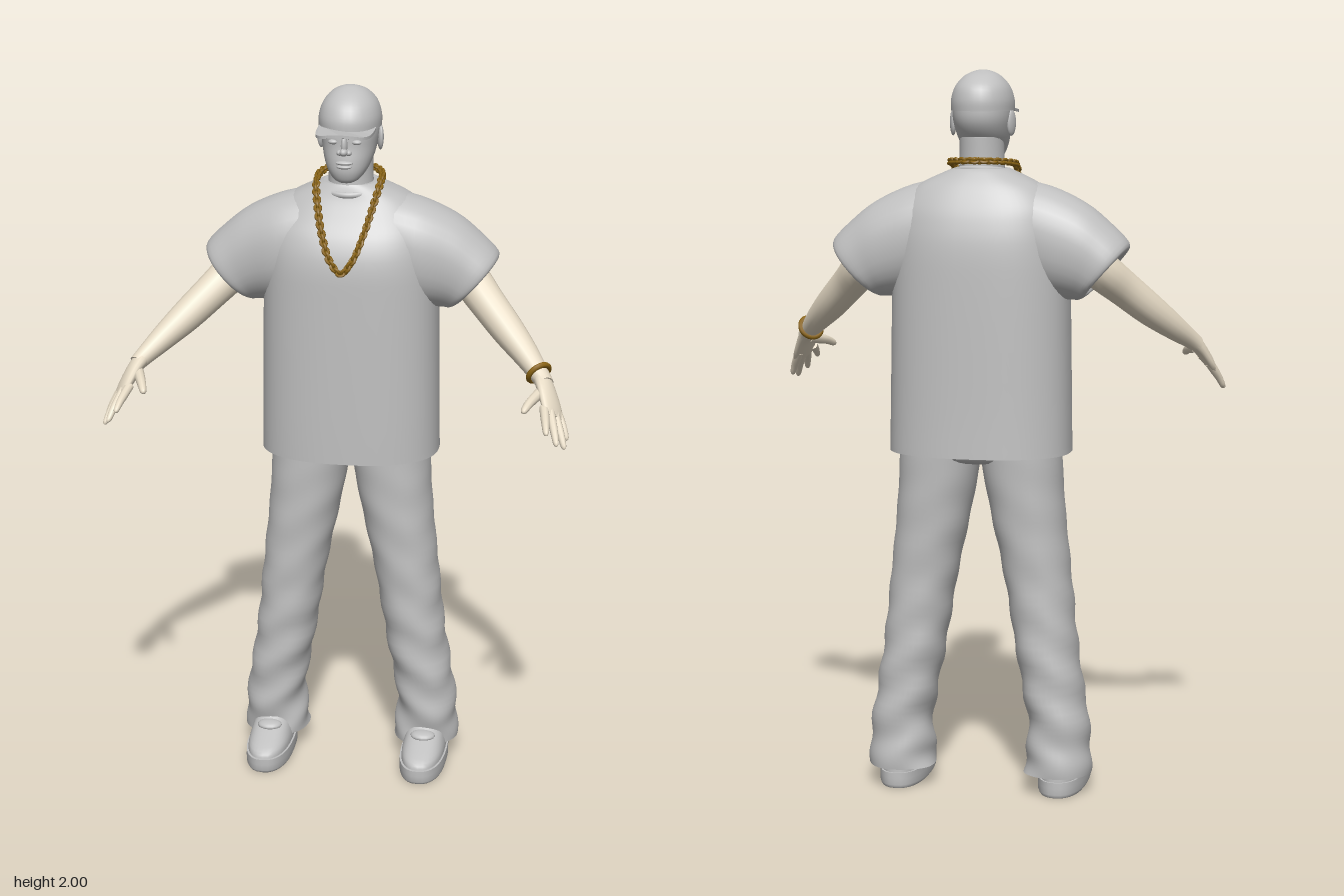
import * as THREE from 'three';
import { mergeGeometries } from 'three/addons/utils/BufferGeometryUtils.js';

const V = (x, y, z) => new THREE.Vector3(x, y, z);

// Resample rows of numbers along a Catmull-Rom spline, n steps per span
function smooth(rows, n) {
  const out = [], last = rows.length - 1;
  for (let i = 0; i < last; i++) {
    for (let s = 0; s < n; s++) {
      const t = s / n;
      out.push(rows[i].map((b, k) => {
        const a = rows[Math.max(i - 1, 0)][k], c = rows[i + 1][k], d = rows[Math.min(i + 2, last)][k];
        return b + 0.5 * t * (c - a + t * (2 * a - 5 * b + 4 * c - d + t * (3 * (b - c) + d - a)));
      }));
    }
  }
  out.push(rows[last]);
  return out;
}

// Skin rings {c, u, v, n}: centre, two half axes (u x v along the path), superellipse power
function loft(rings, { seg = 32, start = true, end = true } = {}) {
  const pos = [], idx = [];
  const ringPoints = r => Array.from({ length: seg }, (_, k) => {
    const a = k / seg * Math.PI * 2, e = 2 / (r.n || 2);
    const f = w => Math.sign(w) * Math.abs(w) ** e;
    return r.c.clone().addScaledVector(r.u, f(Math.cos(a))).addScaledVector(r.v, f(Math.sin(a)));
  });
  rings.forEach((r, i) => {
    ringPoints(r).forEach(p => pos.push(p.x, p.y, p.z));
    if (!i) return;
    for (let k = 0; k < seg; k++) {
      const a = (i - 1) * seg + k, b = (i - 1) * seg + (k + 1) % seg;
      idx.push(a, b, a + seg, b, b + seg, a + seg);
    }
  });
  const cap = (r, flip) => {
    const base = pos.length / 3;
    [r.c, ...ringPoints(r)].forEach(p => pos.push(p.x, p.y, p.z));
    for (let k = 0; k < seg; k++) {
      const a = base + 1 + k, b = base + 1 + (k + 1) % seg;
      idx.push(base, ...(flip ? [b, a] : [a, b]));
    }
  };
  if (start) cap(rings[0], true);
  if (end) cap(rings[rings.length - 1], false);
  const g = new THREE.BufferGeometry();
  g.setAttribute('position', new THREE.Float32BufferAttribute(pos, 3));
  g.setIndex(idx);
  g.computeVertexNormals();
  return g;
}

// Level slices going up: [y, centre x, half width, front z, back z]
const stack = (rows, n = 2, steps = 4, opts) => loft(smooth(rows, steps).map(([y, cx, rx, zf, zb]) => ({
  c: V(cx, y, (zf + zb) / 2), u: V(0, 0, (zf - zb) / 2), v: V(rx, 0, 0), n })), opts);

// Limb along a path: [x, y, z, half thickness, half width along ref]
function limb(rows, ref = V(0, 0, 1), steps = 4, seg = 16) {
  const r = smooth(rows, steps), p = r.map(q => V(q[0], q[1], q[2]));
  return loft(r.map((q, i) => {
    const t = p[Math.min(i + 1, p.length - 1)].clone().sub(p[Math.max(i - 1, 0)]).normalize();
    const u = ref.clone().cross(t).normalize();
    return { c: p[i], u: u.clone().multiplyScalar(q[3]), v: t.cross(u).multiplyScalar(q[4]) };
  }), { seg });
}

function mirrored(geo) {
  const g = geo.clone().scale(-1, 1, 1), a = g.index.array;
  for (let i = 0; i < a.length; i += 3) [a[i], a[i + 1]] = [a[i + 1], a[i]];
  g.computeVertexNormals();
  return g;
}

const blob = (x, y, z, rx, ry, rz) => new THREE.SphereGeometry(1, 16, 12).scale(rx, ry, rz).translate(x, y, z);

export function createModel() {
  const model = new THREE.Group();
  const mat = (name, color, side = THREE.FrontSide) => {
    const m = new THREE.MeshStandardMaterial({ color, side });
    m.name = name;
    return m;
  };
  const grey = mat('grey', 0xc0c0c0, THREE.DoubleSide);
  const skin = mat('skin', 0xeee2cc);
  const gold = mat('gold', 0x8a6414);
  const add = (name, geo, material) => {
    const m = new THREE.Mesh(geo, material);
    m.name = name;
    model.add(m);
  };
  const pair = (name, geo, material) => {
    add(name + 'Left', geo, material);
    add(name + 'Right', mirrored(geo), material);
  };

  // Loose shirt, open at the hem
  add('shirt', stack([
    [0.96, 0, 0.252, 0.072, -0.292], [1.1, 0, 0.25, 0.072, -0.288], [1.4, 0, 0.245, 0.07, -0.283],
    [1.52, 0, 0.24, 0.066, -0.278], [1.59, 0, 0.232, 0.046, -0.265], [1.64, 0, 0.215, 0.015, -0.247],
    [1.69, 0, 0.17, -0.012, -0.22], [1.725, 0, 0.1, -0.025, -0.192], [1.735, 0, 0.075, -0.03, -0.18]],
  2.4, 4, { seg: 56, start: false }), grey);

  // Wide sleeves: top x, top y, bottom x, bottom y, half depth, centre z
  const sleeveRows = [
    [0.08, 1.712, 0.14, 1.42, 0.12, -0.11], [0.19, 1.69, 0.19, 1.39, 0.125, -0.11],
    [0.29, 1.645, 0.242, 1.383, 0.115, -0.118], [0.36, 1.59, 0.26, 1.383, 0.108, -0.12],
    [0.408, 1.54, 0.276, 1.383, 0.104, -0.12], [0.402, 1.515, 0.295, 1.395, 0.092, -0.12],
    [0.38, 1.51, 0.29, 1.41, 0.075, -0.12]];
  pair('sleeve', loft(smooth(sleeveRows, 4).map(([tx, ty, bx, by, d, z]) => ({
    c: V((tx + bx) / 2, (ty + by) / 2, z), u: V((tx - bx) / 2, (ty - by) / 2, 0), v: V(0, 0, d), n: 2.2 }))), grey);

  // Neck and shirt collar
  add('neck', stack([[1.68, 0, 0.07, -0.02, -0.175], [1.74, 0, 0.062, -0.03, -0.168], [1.82, 0, 0.06, -0.03, -0.17]]), grey);
  add('collar', new THREE.TorusGeometry(0.076, 0.009, 8, 40).rotateX(Math.PI / 2 + 0.18).translate(0, 1.722, -0.095), grey);

  // Head and face
  add('head', stack([
    [1.748, 0, 0.018, 0.004, -0.03], [1.757, 0, 0.036, 0.014, -0.06], [1.78, 0, 0.054, 0.022, -0.11],
    [1.81, 0, 0.067, 0.022, -0.155], [1.845, 0, 0.075, 0.017, -0.184], [1.88, 0, 0.08, 0.016, -0.195],
    [1.93, 0, 0.08, 0.01, -0.192]], 2.2), grey);
  add('nose', mergeGeometries([
    blob(0, 1.855, 0.02, 0.009, 0.028, 0.014), blob(0, 1.838, 0.028, 0.011, 0.011, 0.015),
    blob(0.012, 1.835, 0.02, 0.009, 0.008, 0.011), blob(-0.012, 1.835, 0.02, 0.009, 0.008, 0.011)]), grey);
  add('lips', mergeGeometries([
    blob(0, 1.807, 0.02, 0.024, 0.006, 0.012), blob(0, 1.796, 0.019, 0.021, 0.006, 0.012)]), grey);
  pair('eye', blob(0.032, 1.862, 0.008, 0.014, 0.007, 0.01), grey);
  pair('brow', blob(0.035, 1.881, 0.008, 0.026, 0.008, 0.012), grey);
  pair('ear', blob(0, 0, 0, 0.009, 0.036, 0.021).rotateY(0.3).translate(0.081, 1.858, -0.097), grey);

  // Cap crown and curved brim
  add('capCrown', stack([
    [1.89, 0, 0.085, 0.024, -0.197], [1.92, 0, 0.085, 0.022, -0.197], [1.955, 0, 0.074, 0.004, -0.184],
    [1.983, 0, 0.05, -0.03, -0.148], [1.997, 0, 0.022, -0.064, -0.108], [2, 0, 0.002, -0.084, -0.088]],
  2.1, 4, { start: false }), grey);
  const brimShape = new THREE.Shape();
  brimShape.moveTo(-0.078, 0.04).lineTo(0.078, 0.04);
  brimShape.bezierCurveTo(0.082, -0.07, 0.062, -0.1, 0, -0.1);
  brimShape.bezierCurveTo(-0.062, -0.1, -0.082, -0.07, -0.078, 0.04);
  const brim = new THREE.ExtrudeGeometry(brimShape, { depth: 0.008, bevelEnabled: false, curveSegments: 16 });
  brim.rotateX(-Math.PI / 2);
  const bp = brim.attributes.position;
  for (let i = 0; i < bp.count; i++) bp.setY(i, bp.getY(i) + 1.902 - 2.8 * bp.getX(i) ** 2 - 0.1 * bp.getZ(i));
  brim.computeVertexNormals();
  add('capBrim', brim, grey);

  // Bare arms and hands
  pair('arm', limb([
    [0.27, 1.52, -0.135, 0.058, 0.058], [0.33, 1.465, -0.115, 0.055, 0.055], [0.385, 1.412, -0.065, 0.05, 0.05],
    [0.45, 1.35, -0.01, 0.045, 0.047], [0.505, 1.3, 0.042, 0.036, 0.039], [0.55, 1.258, 0.095, 0.026, 0.029],
    [0.565, 1.243, 0.115, 0.023, 0.029]]), skin);
  const across = V(-0.5, 0.36, 0.86);
  const fingers = [
    [[0.573, 1.192, 0.212], [0.585, 1.157, 0.292]], [[0.589, 1.182, 0.2], [0.612, 1.122, 0.275]],
    [[0.6, 1.173, 0.18], [0.631, 1.102, 0.24]], [[0.606, 1.17, 0.158], [0.634, 1.112, 0.195]],
    [[0.553, 1.225, 0.15], [0.517, 1.2, 0.243]]];
  pair('hand', mergeGeometries([
    limb([[0.555, 1.253, 0.1, 0.022, 0.027], [0.571, 1.23, 0.133, 0.019, 0.036],
      [0.588, 1.195, 0.168, 0.016, 0.043], [0.597, 1.172, 0.192, 0.011, 0.039]], across),
    ...fingers.map(([a, b], i) => {
      const r = i === 4 ? 0.014 : 0.0115, at = (t, s, lift) => [
        ...a.map((q, k) => q + (b[k] - q) * t + (k === 1 ? lift : 0)), r * s, r * s];
      return limb([at(-0.25, 1.1, 0), at(0.2, 1.05, 0.003), at(0.6, 0.9, 0.005), at(0.92, 0.65, 0.001), at(1, 0.15, 0)], across, 3, 10);
    })]), skin);

  // Bracelet on the left wrist
  const bracelet = new THREE.TorusGeometry(0.031, 0.008, 8, 28);
  bracelet.applyQuaternion(new THREE.Quaternion().setFromUnitVectors(V(0, 0, 1), V(0.6, -0.56, 0.68).normalize()));
  add('bracelet', bracelet.translate(0.545, 1.264, 0.088), gold);

  // Neck chain of interlocking links
  const half = [[0.03, 1.548, 0.079], [0.057, 1.615, 0.05], [0.075, 1.68, 0.008], [0.088, 1.738, -0.05],
    [0.083, 1.752, -0.12], [0.045, 1.757, -0.175]];
  const path = new THREE.CatmullRomCurve3([V(0, 1.515, 0.082), ...half.map(p => V(...p)), V(0, 1.758, -0.19),
    ...half.slice().reverse().map(p => V(-p[0], p[1], p[2]))], true);
  const links = [], count = 76;
  for (let i = 0; i < count; i++) {
    const link = new THREE.TorusGeometry(0.0075, 0.0045, 6, 10).scale(1.25, 1, 1).rotateX(i % 2 ? 0.8 : -0.8);
    link.applyQuaternion(new THREE.Quaternion().setFromUnitVectors(V(1, 0, 0), path.getTangentAt(i / count)));
    links.push(link.translate(...path.getPointAt(i / count).toArray()));
  }
  add('neckChain', mergeGeometries(links), gold);

  // Baggy trousers with soft folds that grow towards the hem
  add('trouserSeat', stack([[0.93, 0, 0.14, -0.03, -0.19], [0.96, 0, 0.215, 0.005, -0.23], [1.1, 0, 0.22, 0.01, -0.24]], 2.3), grey);
  const leg = stack([
    [0.06, 0.22, 0.094, -0.03, -0.226], [0.11, 0.224, 0.09, -0.026, -0.224], [0.2, 0.223, 0.084, -0.018, -0.222],
    [0.4, 0.19, 0.086, -0.008, -0.22], [0.6, 0.163, 0.092, -0.002, -0.217], [0.8, 0.132, 0.103, 0.006, -0.226],
    [0.95, 0.114, 0.112, 0.01, -0.234], [1.02, 0.112, 0.11, 0.008, -0.234]], 2.2, 8, { seg: 40, start: false });
  const lp = leg.attributes.position;
  for (let i = 0; i < lp.count; i++) {
    const x = lp.getX(i), y = lp.getY(i), z = lp.getZ(i), amp = 0.005 * Math.max(0, 1 - y);
    lp.setX(i, x + amp * Math.sin(y * 52 + z * 18));
    lp.setZ(i, z + amp * Math.sin(y * 46 + x * 30));
  }
  leg.computeVertexNormals();
  pair('trouserLeg', leg, grey);

  // Shoes: flat sole and sloping upper
  pair('shoeSole', stack([[0, 0.228, 0.062, 0.105, -0.205], [0.01, 0.228, 0.067, 0.115, -0.21],
    [0.045, 0.228, 0.067, 0.116, -0.21]], 2.4, 2), grey);
  pair('shoeUpper', stack([[0.044, 0.228, 0.062, 0.108, -0.205], [0.062, 0.228, 0.061, 0.098, -0.204],
    [0.085, 0.228, 0.056, 0.045, -0.2], [0.108, 0.228, 0.05, -0.012, -0.195], [0.125, 0.228, 0.046, -0.035, -0.19]], 2.4, 3), grey);
  pair('shoeTongue', blob(0.228, 0.1, -0.012, 0.036, 0.014, 0.03), grey);

  return model;
}
